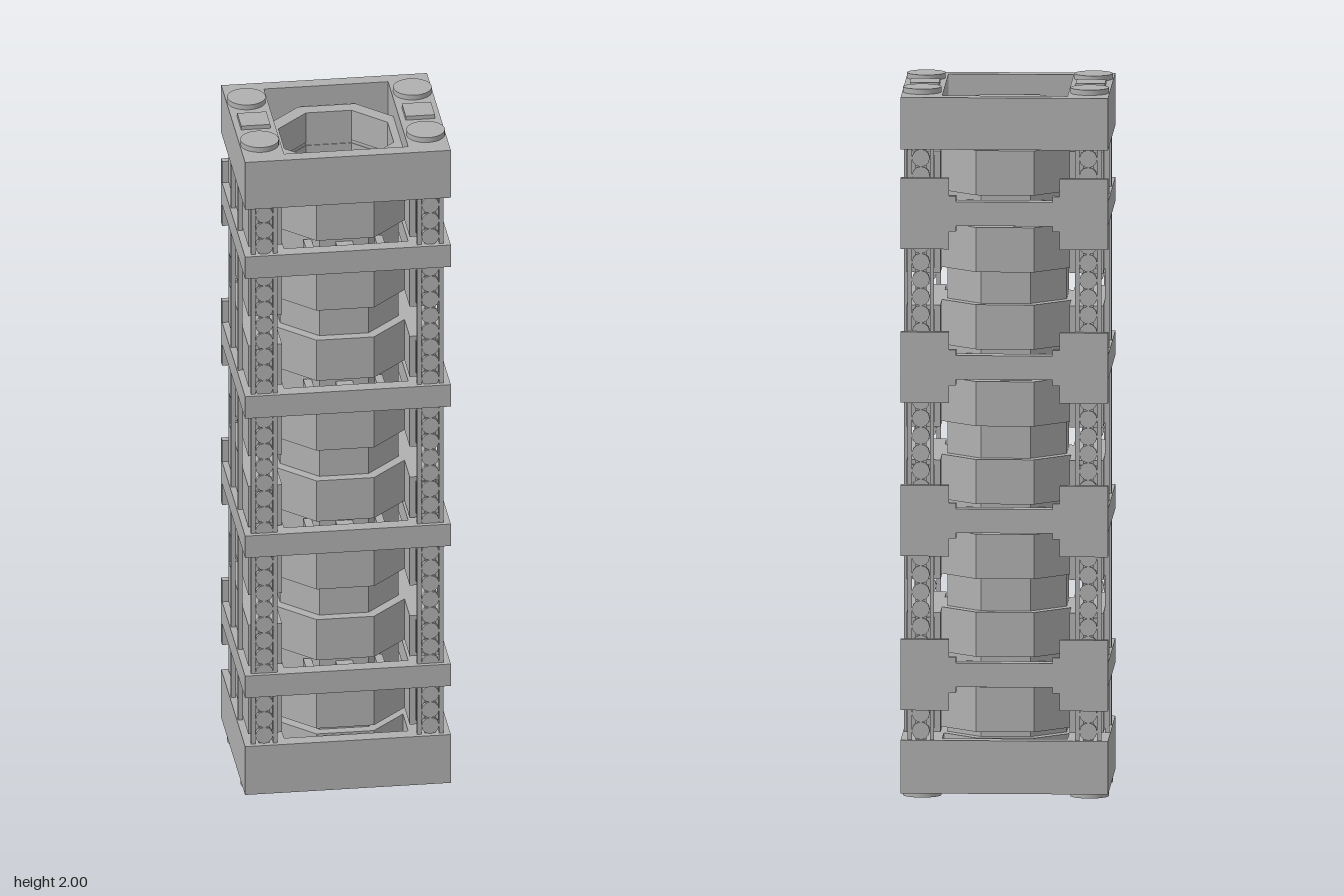
import * as THREE from 'three';

export function createModel() {
  const root = new THREE.Group();
  root.name = 'octagonalShaftTower';
  const grey = new THREE.MeshStandardMaterial({ color: 0xb0b0b0 });
  grey.name = 'plain grey';

  const add = (name, geo, x, y, z) => {
    const m = new THREE.Mesh(geo, grey);
    m.name = name;
    m.position.set(x, y, z);
    root.add(m);
    return m;
  };
  const box = (name, w, h, d, x, y, z) => add(name, new THREE.BoxGeometry(w, h, d), x, y, z);
  const SIDES = [-1, 1];

  // Rectangular frame with an open middle, from y0 to y1
  const frame = (name, y0, y1) => {
    const rect = (P, w, d) => {
      const p = new P();
      p.moveTo(-w, -d); p.lineTo(w, -d); p.lineTo(w, d); p.lineTo(-w, d); p.closePath();
      return p;
    };
    const s = rect(THREE.Shape, 0.29, 0.249);
    s.holes.push(rect(THREE.Path, 0.175, 0.209));
    const g = new THREE.ExtrudeGeometry(s, { depth: y1 - y0, bevelEnabled: false });
    g.rotateX(-Math.PI / 2);
    add(name, g, 0, y0, 0);
  };

  // Regular octagonal pipe, flats facing x and z; radii are to the flats
  const octPath = (P, a) => {
    const p = new P();
    for (let i = 0; i < 8; i++) {
      const t = (i + 0.5) * Math.PI / 4, r = a / Math.cos(Math.PI / 8);
      if (i) p.lineTo(r * Math.cos(t), r * Math.sin(t));
      else p.moveTo(r * Math.cos(t), r * Math.sin(t));
    }
    p.closePath();
    return p;
  };
  const octRing = (name, outer, inner, y0, y1) => {
    const s = octPath(THREE.Shape, outer);
    s.holes.push(octPath(THREE.Path, inner));
    const g = new THREE.ExtrudeGeometry(s, { depth: y1 - y0, bevelEnabled: false });
    g.rotateX(-Math.PI / 2);
    add(name, g, 0, y0, 0);
  };

  // End caps
  frame('bottomCap', 0.02, 0.17);
  frame('topCap', 1.838, 1.985);
  for (const sx of SIDES) {
    for (const sz of SIDES) {
      const disc = new THREE.CylinderGeometry(0.054, 0.054, 0.02, 32);
      add('topDisc', disc, sx * 0.234, 1.99, sz * 0.137);
      add('bottomDisc', disc, sx * 0.234, 0.01, sz * 0.137);
    }
    box('topPad', 0.082, 0.014, 0.083, sx * 0.232, 1.99, 0);
    box('bottomPad', 0.082, 0.02, 0.083, sx * 0.232, 0.012, 0);
  }

  // Inner shaft with its wider collars, and the side blocks at the same heights
  octRing('shaft', 0.167, 0.157, 0.07, 1.93);
  octRing('bottomRim', 0.195, 0.154, 0.07, 0.17);
  octRing('topRim', 0.195, 0.154, 1.838, 1.93);
  const rows = [0.25, 0.462, 0.682, 0.893, 1.113, 1.33, 1.548, 1.765];
  for (const y of rows) {
    octRing('collar', 0.195, 0.155, y - 0.063, y + 0.063);
    for (const sx of SIDES) {
      box('sideBlock', 0.095, 0.126, 0.41, sx * 0.2275, y, 0);
      for (const sz of SIDES) box('blockEdge', 0.07, 0.1, 0.008, sx * 0.232, y, sz * 0.208);
    }
  }

  // Straps around the tower, with tabs to the shaft and corner plates behind
  for (const y of [0.355, 0.79, 1.223, 1.657]) {
    frame('strap', y - 0.034, y + 0.034);
    for (const sz of SIDES) {
      box('middleTab', 0.048, 0.05, 0.046, 0, y, sz * 0.188);
      for (const sx of SIDES) box('sideTab', 0.023, 0.05, 0.07, sx * 0.1, y, sz * 0.176);
    }
    for (const sx of SIDES) {
      box('backPlate', 0.135, 0.2, 0.02, sx * 0.2225, y, -0.24);
      box('backPlateStep', 0.03, 0.1, 0.02, sx * 0.15, y, -0.24);
    }
  }

  // Corner rails with a chain of discs between them, and the side rails
  for (const sx of SIDES) {
    for (const sz of SIDES) {
      for (const dx of [-0.031, 0.031]) {
        box('cornerRail', 0.012, 1.68, 0.012, sx * 0.234 + dx, 1.004, sz * 0.23);
      }
      box('chainStrip', 0.03, 1.68, 0.006, sx * 0.234, 1.004, sz * 0.228);
      const link = new THREE.CylinderGeometry(0.025, 0.025, 0.012, 12);
      link.rotateX(Math.PI / 2);
      for (let i = 0; i < 34; i++) {
        add('chainLink', link, sx * 0.234, 0.195 + i * 0.049, sz * 0.23);
      }
      box('sideRail', 0.012, 1.68, 0.012, sx * 0.281, 1.004, sz * 0.073);
    }
  }
  return root;
}
